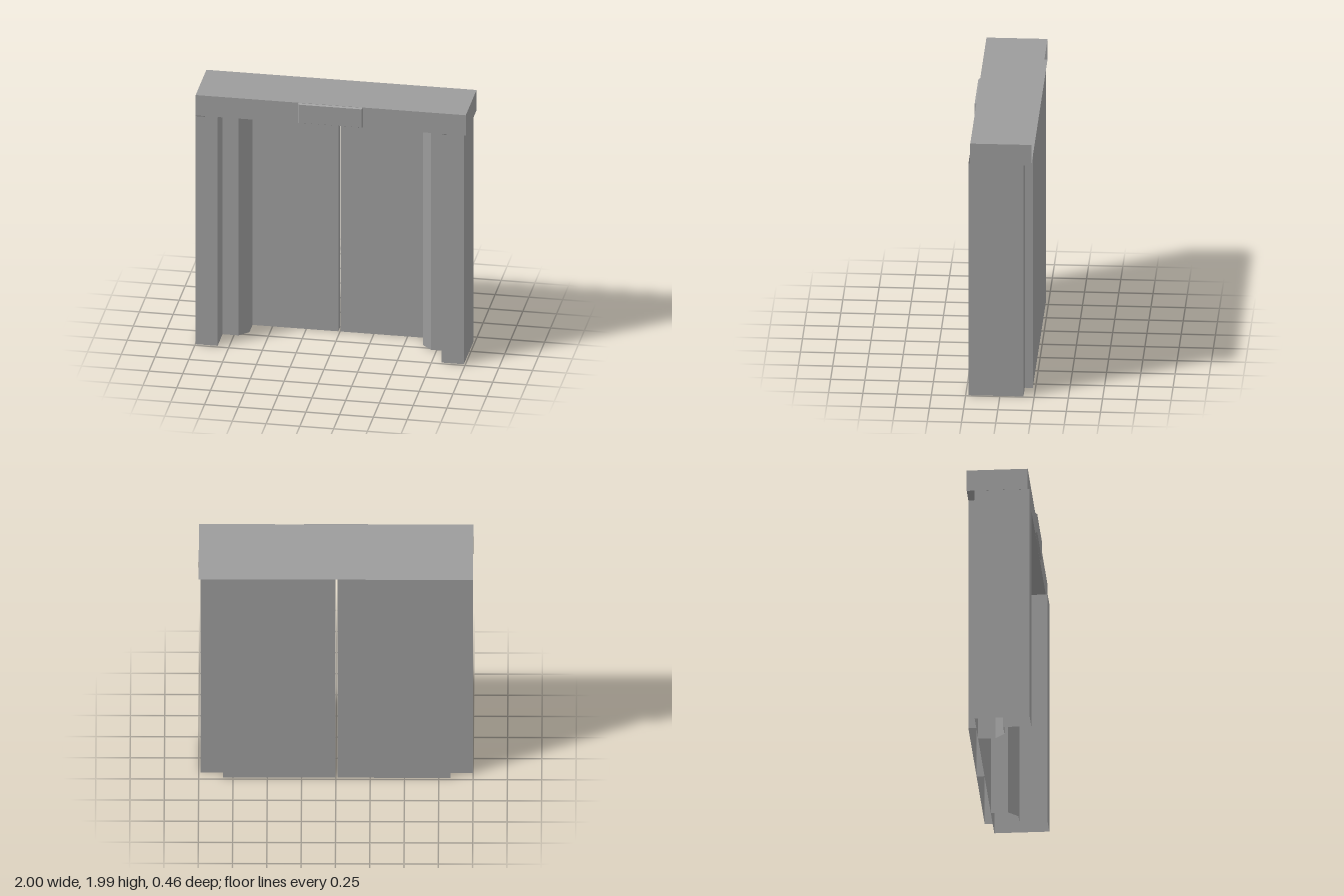
import * as THREE from 'three';

const DOOR_H = 1.831;   // underside of the header
const TOP = 1.994;      // top of the header
const MID = -0.0055;    // centre line between the doors

const material = new THREE.MeshStandardMaterial({
  color: 0x9b9b9b, flatShading: true, side: THREE.DoubleSide,
});

function addMesh(parent, name, geometry, x = 0, y = 0, z = 0) {
  const mesh = new THREE.Mesh(geometry, material);
  mesh.name = name;
  mesh.position.set(x, y, z);
  parent.add(mesh);
  return mesh;
}

// Box without some faces (0 +x, 1 -x, 2 +y, 3 -y, 4 +z, 5 -z)
function openBox(w, h, d, removed) {
  const geo = new THREE.BoxGeometry(w, h, d);
  const index = Array.from(geo.index.array);
  geo.setIndex(index.filter((_, i) => !removed.includes(Math.floor(i / 6))));
  geo.clearGroups();
  return geo;
}

// Vertical walls along a closed [x, z] outline, open at top and bottom
function wallShell(outline, height) {
  const pos = [];
  outline.forEach(([ax, az], i) => {
    const [bx, bz] = outline[(i + 1) % outline.length];
    pos.push(ax, 0, az, bx, 0, bz, bx, height, bz);
    pos.push(ax, 0, az, bx, height, bz, ax, height, az);
  });
  const geo = new THREE.BufferGeometry();
  geo.setAttribute('position', new THREE.Float32BufferAttribute(pos, 3));
  geo.computeVertexNormals();
  return geo;
}

export function createModel() {
  const group = new THREE.Group();
  group.name = 'slidingDoorway';

  // Stepped side columns with a chamfered inner jamb, offsets from the centre line
  const jamb = [
    [-0.9935, 0.23], [-0.8295, 0.23], [-0.8295, 0.025], [-0.7125, 0.025],
    [-0.6425, -0.045], [-0.6425, -0.172], [-0.9935, -0.172],
  ];
  const right = jamb.map(([x, z]) => [x + MID, z]);
  const left = jamb.map(([x, z]) => [MID - x, z]).reverse();
  addMesh(group, 'rightColumn', wallShell(right, DOOR_H));
  addMesh(group, 'leftColumn', wallShell(left, DOOR_H));

  // Two door panels with a narrow gap, hollow from below
  const doorW = 0.822;
  for (const s of [-1, 1]) {
    addMesh(group, s < 0 ? 'rightDoor' : 'leftDoor', openBox(doorW, DOOR_H, 0.058, [2, 3]),
      MID + s * (0.007 + doorW / 2), DOOR_H / 2, -0.201);
  }

  // Header box, open at the back
  const headH = TOP - DOOR_H;
  const headY = (TOP + DOOR_H) / 2;
  addMesh(group, 'header', openBox(2, headH, 0.446, [5]), 0, headY, -0.007);

  // Indicator panel with bevelled rim: front corners pulled inwards
  const panel = openBox(0.481, headH - 0.004, 0.014, [5]);
  const p = panel.attributes.position;
  for (let i = 0; i < p.count; i++) {
    if (p.getZ(i) > 0) {
      p.setX(i, p.getX(i) - Math.sign(p.getX(i)) * 0.009);
      p.setY(i, p.getY(i) - Math.sign(p.getY(i)) * 0.007);
    }
  }
  panel.computeVertexNormals();
  addMesh(group, 'indicatorPanel', panel, -0.002, headY, 0.223);

  return group;
}
